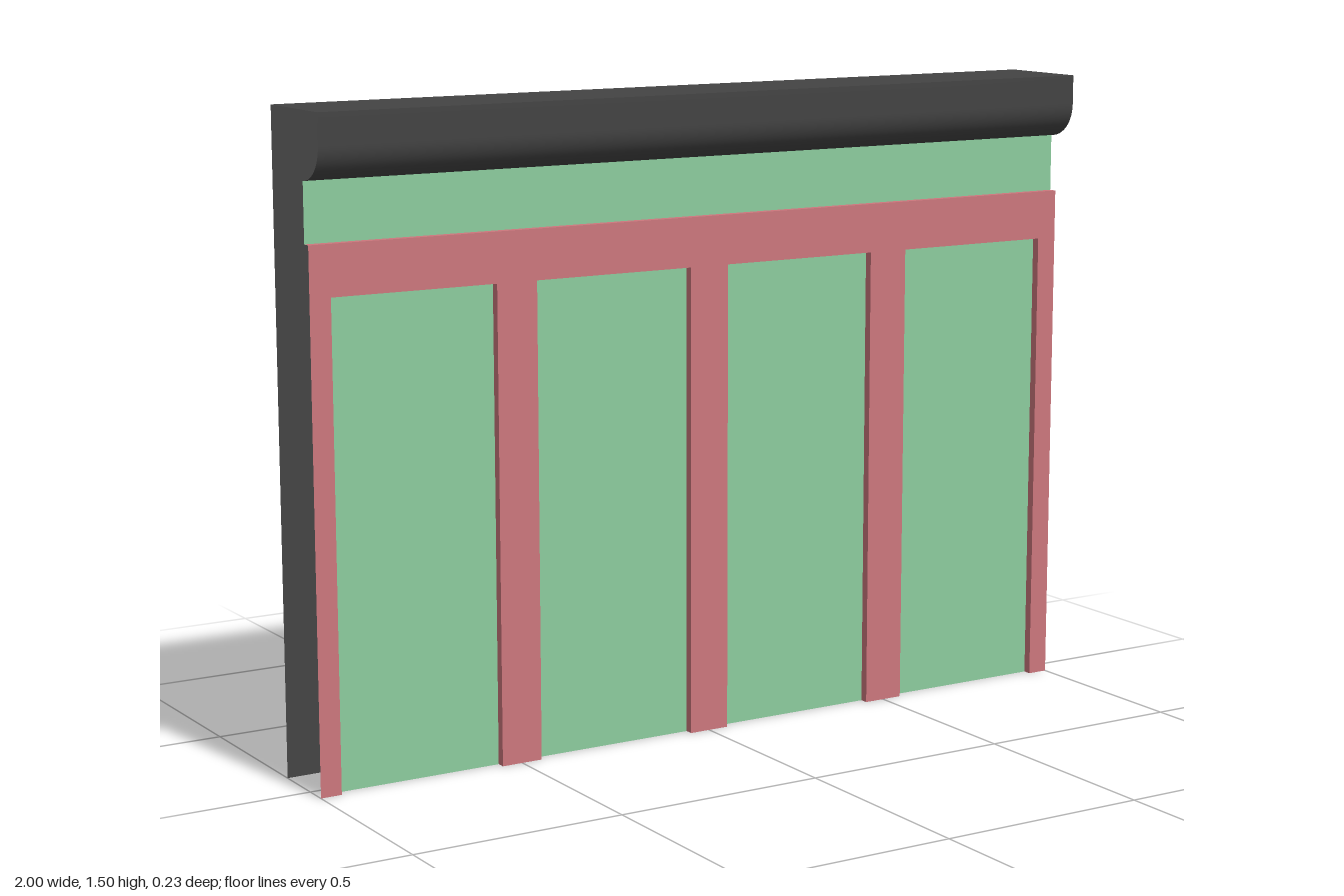
import * as THREE from 'three';
import { toCreasedNormals } from 'three/addons/utils/BufferGeometryUtils.js';

const paint = (color) => new THREE.MeshStandardMaterial({ color, side: THREE.DoubleSide });

// Open sheet: a [z, y] profile swept along x from x0 to x1
function sweep(profile, x0, x1) {
  const pos = [], index = [];
  profile.forEach(([z, y], i) => {
    pos.push(x0, y, z, x1, y, z);
    if (i) {
      const a = 2 * i - 2;
      index.push(a, a + 2, a + 1, a + 1, a + 2, a + 3);
    }
  });
  const geo = new THREE.BufferGeometry();
  geo.setAttribute('position', new THREE.Float32BufferAttribute(pos, 3));
  geo.setIndex(index);
  geo.computeVertexNormals();
  return toCreasedNormals(geo, 0.5);
}

export function createModel() {
  const model = new THREE.Group();
  const dark = paint(0x444444), red = paint(0xcc777d), green = paint(0x8ccc9e);
  const add = (name, geo, mat, parent = model) => {
    const mesh = new THREE.Mesh(geo, mat);
    mesh.name = name;
    parent.add(mesh);
    return mesh;
  };

  const zBack = -0.12, zPanel = 0.035, zFrame = 0.055, zHood = 0.115;
  const top = 1.5, hoodBottom = 1.35, railTop = 1.215, railBottom = 1.1;
  const bayCentres = [-0.75, -0.25, 0.25, 0.75], halfBay = 0.2;

  // Back wall, flat top and rounded front hood in one sheet
  const r = zHood - zPanel;
  const hood = [[zBack, 0], [zBack, top], [zHood, top]];
  for (let i = 0; i <= 12; i++) {
    const a = (i / 12) * Math.PI / 2;
    hood.push([zPanel + r * Math.cos(a), hoodBottom + r - r * Math.sin(a)]);
  }
  add('backWallAndHood', sweep(hood, -1, 1), dark);

  // Band between hood and frame
  add('fascia', sweep([[zPanel, hoodBottom], [zPanel, railTop]], -1, 1), green);

  // Comb-shaped frame face: top rail with stiles hanging down
  const frame = new THREE.Group();
  frame.name = 'frame';
  model.add(frame);
  const face = new THREE.Shape();
  face.moveTo(-1, railTop).lineTo(-1, 0);
  for (const x of bayCentres) {
    face.lineTo(x - halfBay, 0).lineTo(x - halfBay, railBottom);
    face.lineTo(x + halfBay, railBottom).lineTo(x + halfBay, 0);
  }
  face.lineTo(1, 0).lineTo(1, railTop);
  add('frameFace', new THREE.ShapeGeometry(face).translate(0, 0, zFrame), red, frame);
  add('railLedge', sweep([[zPanel, railTop], [zFrame, railTop]], -1, 1), red, frame);

  // Recessed panel in each bay, with the frame's returns around it
  for (const x of bayCentres) {
    add('panel', sweep([[zPanel, railBottom], [zPanel, 0]], x - halfBay, x + halfBay), green);
    add('headReturn', sweep([[zFrame, railBottom], [zPanel, railBottom]], x - halfBay, x + halfBay), red, frame);
    for (const side of [-1, 1]) {
      const jamb = new THREE.PlaneGeometry(zFrame - zPanel, railBottom).rotateY(-side * Math.PI / 2);
      jamb.translate(x + side * halfBay, railBottom / 2, (zPanel + zFrame) / 2);
      add('sideReturn', jamb, red, frame);
    }
  }
  return model;
}
